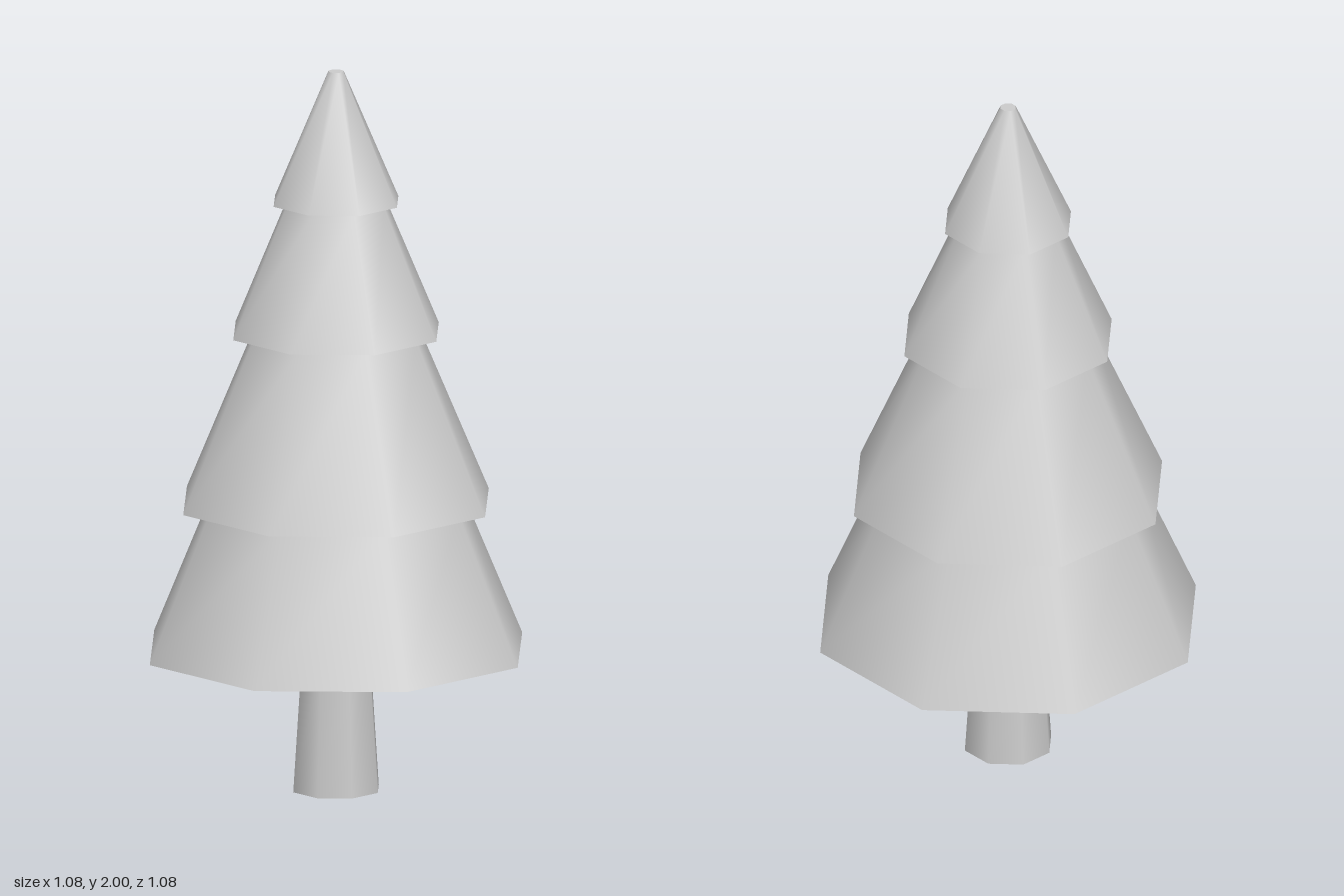
import * as THREE from 'three';

const SIDES = 8;
const material = new THREE.MeshStandardMaterial({ color: 0xcccccc });

// Eight-sided tapered section standing on y0, with a soft rim under it
function taper(name, y0, y1, rBottom, rTop) {
  const height = y1 - y0;
  const geometry = new THREE.CylinderGeometry(rTop, rBottom, height, SIDES);
  const pos = geometry.attributes.position;
  const nor = geometry.attributes.normal;
  for (let i = 0; i < pos.count; i++) {
    const x = pos.getX(i), z = pos.getZ(i);
    const r = Math.hypot(x, z);
    if (nor.getY(i) < -0.9 && r > 1e-4) {
      const n = new THREE.Vector3(x / r, -0.8, z / r).normalize();
      nor.setXYZ(i, n.x, n.y, n.z);
    }
  }
  geometry.translate(0, y0 + height / 2, 0);
  const mesh = new THREE.Mesh(geometry, material);
  mesh.name = name;
  return mesh;
}

export function createModel() {
  const tree = new THREE.Group();
  tree.name = 'pineTree';

  // Trunk
  tree.add(taper('trunk', 0, 0.39, 0.124, 0.098));

  // Stacked foliage tiers: bottom y, top y, bottom radius, top radius
  const tiers = [
    [0.39, 0.8, 0.54, 0.365],
    [0.8, 1.275, 0.443, 0.237],
    [1.275, 1.637, 0.298, 0.142],
    [1.637, 2, 0.181, 0.022],
  ];
  tiers.forEach((t, i) => tree.add(taper(`foliageTier${i + 1}`, ...t)));

  return tree;
}
